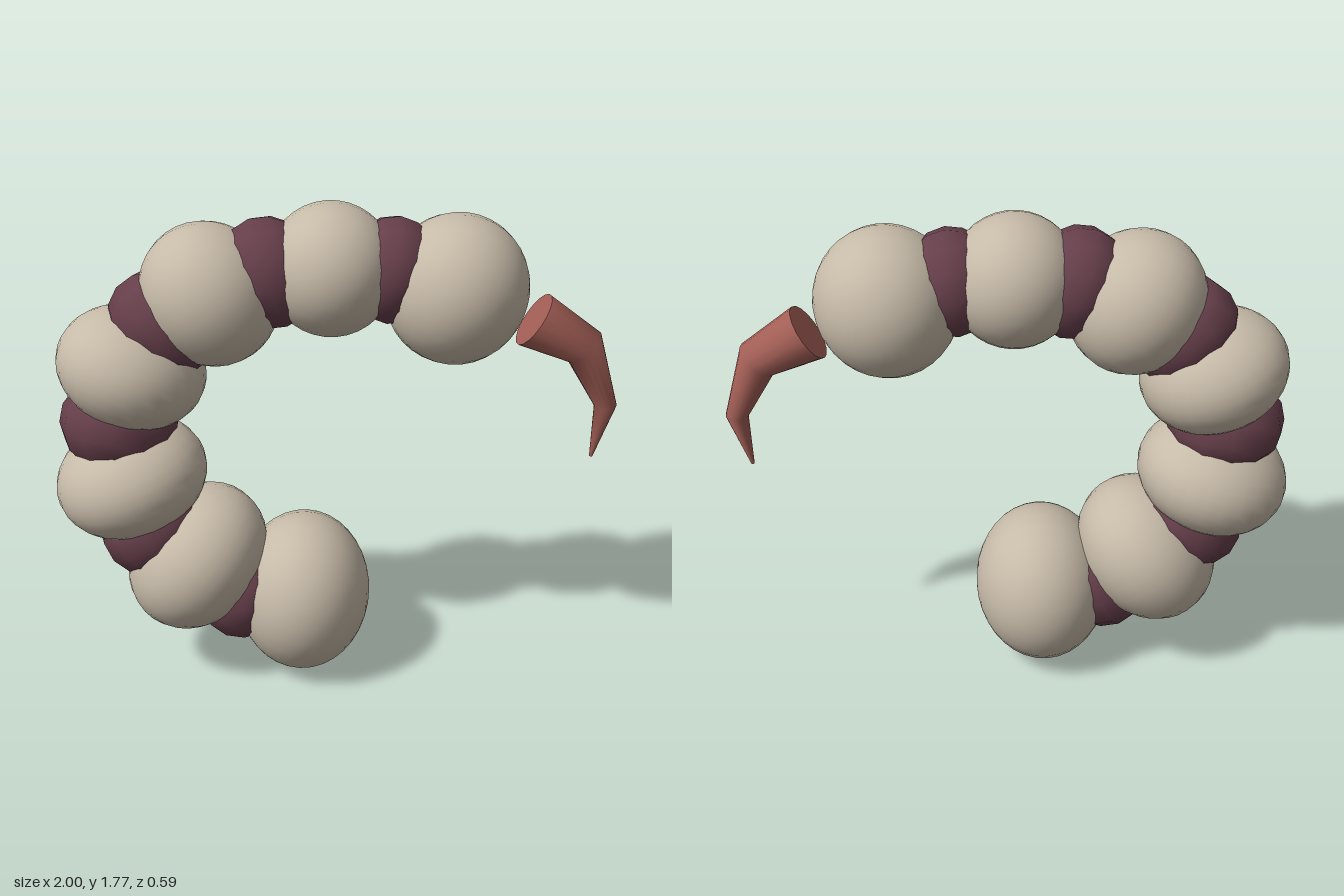
import * as THREE from 'three';

const mat = (name, color) => {
  const m = new THREE.MeshStandardMaterial({ color });
  m.name = name;
  return m;
};

// Ellipsoid lying in the xy plane; its local x is the tail axis, turned by angle (degrees)
function ellipsoid(name, material, [x, y, angle, axial, radial, wide], sides, rows) {
  const geo = new THREE.SphereGeometry(1, sides, rows);
  geo.rotateZ(Math.PI / 2);
  const mesh = new THREE.Mesh(geo, material);
  mesh.name = name;
  mesh.position.set(x, y, 0);
  mesh.rotation.z = THREE.MathUtils.degToRad(angle);
  mesh.scale.set(axial, radial, wide);
  return mesh;
}

// Smooth tapering horn through rings [x, y, angle of travel, radius in plane, radius in z]
function hornGeometry(rings, sides) {
  const pos = [], index = [];
  for (const [x, y, angle, r, rz] of rings) {
    const a = THREE.MathUtils.degToRad(angle);
    for (let j = 0; j < sides; j++) {
      const t = (j / sides) * Math.PI * 2;
      const n = Math.cos(t) * r;
      pos.push(x - Math.sin(a) * n, y + Math.cos(a) * n, Math.sin(t) * rz);
    }
  }
  for (let i = 0; i < rings.length - 1; i++) {
    for (let j = 0; j < sides; j++) {
      const k = (j + 1) % sides;
      const a = i * sides + j, b = i * sides + k;
      const c = a + sides, d = b + sides;
      index.push(a, b, c, b, d, c);
    }
  }
  const geo = new THREE.BufferGeometry();
  geo.setAttribute('position', new THREE.Float32BufferAttribute(pos, 3));
  geo.setIndex(index);
  geo.computeVertexNormals();
  return geo;
}

export function createModel() {
  const model = new THREE.Group();
  model.name = 'segmentedTail';
  const shell = mat('paleShell', 0xc6baa8);
  const flesh = mat('darkJoint', 0x663f4b);
  const horn = mat('redHorn', 0xa35f56);

  // Shell segments from the base round to the tip: x, y, axis angle, axial, radial, z radius
  const segments = [
    [-0.12, 0.30, 176, 0.245, 0.295, 0.295],
    [-0.505, 0.45, 140, 0.235, 0.285, 0.285],
    [-0.73, 0.775, 107, 0.21, 0.275, 0.275],
    [-0.71, 1.195, 72, 0.21, 0.265, 0.265],
    [-0.43, 1.46, 36, 0.235, 0.255, 0.255],
    [-0.015, 1.545, 4, 0.225, 0.232, 0.238],
    [0.415, 1.47, -18, 0.25, 0.262, 0.265],
  ];
  segments.forEach((s, i) => model.add(ellipsoid('shellSegment' + (i + 1), shell, s, 28, 18)));

  // Softer joints set slightly towards the outside of the curl
  const joints = [
    [-0.33, 0.33, 155, 0.18, 0.21, 0.205],
    [-0.66, 0.59, 127, 0.18, 0.205, 0.205],
    [-0.765, 0.99, 90, 0.18, 0.21, 0.2],
    [-0.59, 1.355, 50, 0.175, 0.205, 0.195],
    [-0.225, 1.535, 20, 0.17, 0.2, 0.185],
    [0.195, 1.54, -8, 0.16, 0.19, 0.18],
  ];
  joints.forEach((s, i) => model.add(ellipsoid('joint' + (i + 1), flesh, s, 12, 8)));

  // Hooked stinger with a flat root
  const sides = 18;
  const root = [0.688, 1.355, -34, 0.103, 0.106];
  const stinger = new THREE.Group();
  stinger.name = 'stinger';
  const hook = new THREE.Mesh(hornGeometry([
    root,
    [0.87, 1.252, -48, 0.075, 0.085],
    [0.959, 1.03, -86, 0.04, 0.043],
    [0.92, 0.83, -101, 0.006, 0.006],
    [0.92, 0.828, -101, 0, 0],
  ], sides), horn);
  hook.name = 'stingerHook';
  const cap = new THREE.Mesh(hornGeometry([[...root.slice(0, 3), 0, 0], root], sides), horn);
  cap.name = 'stingerRoot';
  stinger.add(hook, cap);
  model.add(stinger);
  return model;
}
